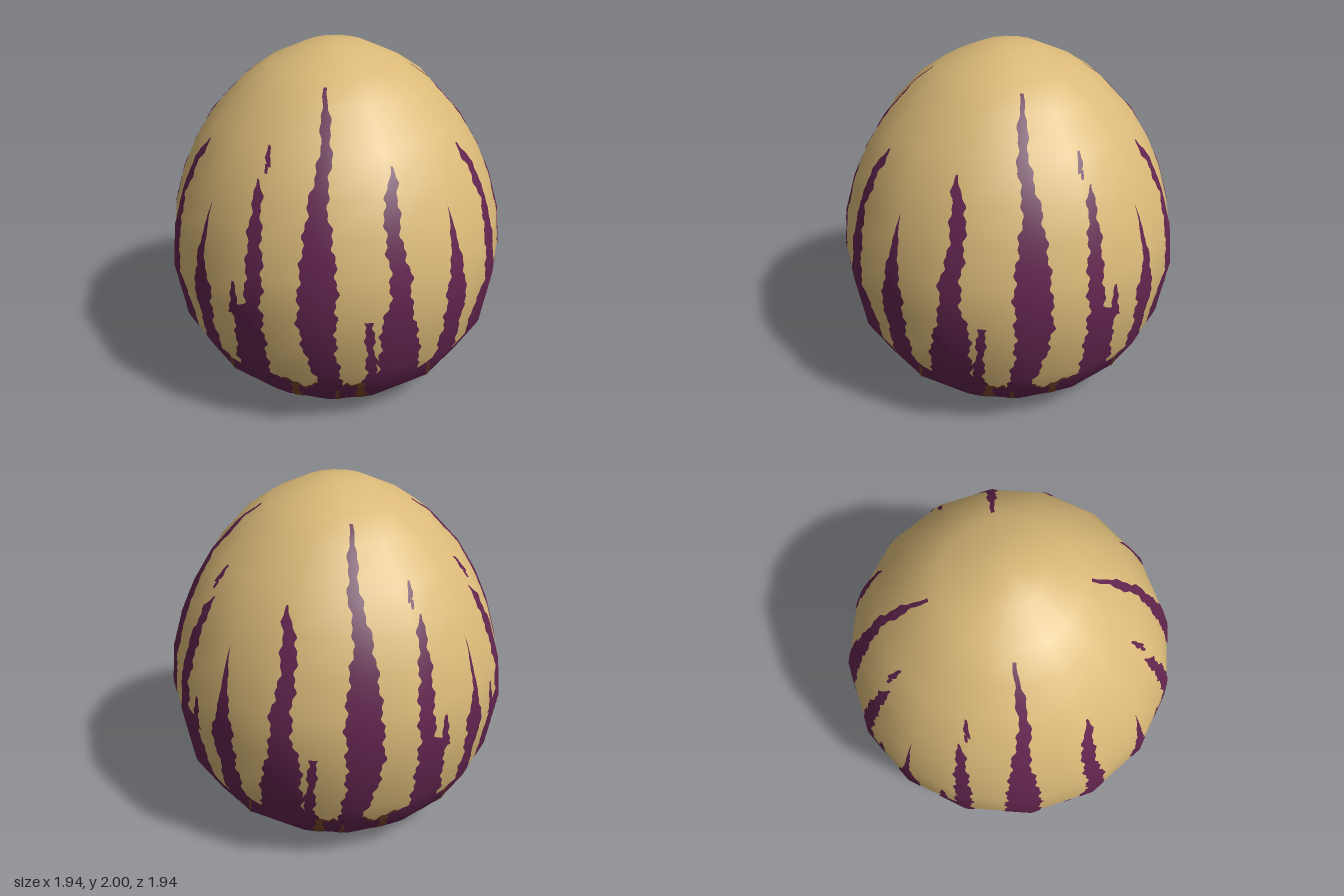
import * as THREE from 'three';

const SIDES = 16, STEP = 360 / SIDES, DEG = Math.PI / 180;

// Egg profile [radius, height], from the base to the tip
const PROFILE = [
  [0, 0], [0.44, 0.005], [0.62, 0.06], [0.77, 0.2], [0.91, 0.44], [0.967, 0.78], [0.945, 1.01],
  [0.88, 1.23], [0.8, 1.41], [0.69, 1.59], [0.51, 1.785], [0.37, 1.88], [0.17, 1.972], [0, 2],
];
const LAST = PROFILE.length - 1;

// Smooth profile normals [outward, up]
const NORMALS = PROFILE.map((p, i) => {
  if (i === 0) return [0, -1];
  if (i === LAST) return [0, 1];
  const a = PROFILE[i - 1], b = PROFILE[i + 1];
  const v = new THREE.Vector2(b[1] - a[1], a[0] - b[0]).normalize();
  return [v.x, v.y];
});

function sample(list, u) {
  const i = Math.min(Math.floor(u), LAST - 1), f = u - i;
  return [0, 1].map((k) => THREE.MathUtils.lerp(list[i][k], list[i + 1][k], f));
}

// Profile position at a given height
function uAt(y) {
  let i = 0;
  while (i < LAST - 1 && PROFILE[i + 1][1] < y) i++;
  return i + (y - PROFILE[i][1]) / (PROFILE[i + 1][1] - PROFILE[i][1]);
}

// Surface patch on the faceted egg; f(s, t) returns [angle in degrees, profile position]
function patch(cols, rows, f, lift = 0) {
  const pos = [], nor = [], index = [];
  for (let j = 0; j <= rows; j++) {
    for (let i = 0; i <= cols; i++) {
      const [deg, u] = f(i / cols, j / rows);
      const [r, y] = sample(PROFILE, u), [no, nu] = sample(NORMALS, u);
      const local = THREE.MathUtils.euclideanModulo(deg, STEP) - STEP / 2;
      const flat = r * Math.cos(STEP / 2 * DEG) / Math.cos(local * DEG);
      const c = Math.cos(deg * DEG), s = Math.sin(deg * DEG);
      pos.push((flat + no * lift) * c, y + nu * lift, (flat + no * lift) * s);
      nor.push(no * c, nu, no * s);
      if (i < cols && j < rows) {
        const a = j * (cols + 1) + i, b = a + cols + 1;
        index.push(a, b, a + 1, a + 1, b, b + 1);
      }
    }
  }
  const g = new THREE.BufferGeometry();
  g.setAttribute('position', new THREE.Float32BufferAttribute(pos, 3));
  g.setAttribute('normal', new THREE.Float32BufferAttribute(nor, 3));
  g.setIndex(index);
  return g;
}

// Piecewise-linear lookup in rows [key, value...]
function lookup(rows, key, column = 1) {
  let i = 0;
  while (i < rows.length - 2 && rows[i + 1][0] < key) i++;
  const f = THREE.MathUtils.clamp((key - rows[i][0]) / (rows[i + 1][0] - rows[i][0]), 0, 1);
  return THREE.MathUtils.lerp(rows[i][column], rows[i + 1][column], f);
}

const wobble = (y, k) => 0.5 * Math.sin(y * 41 + k) + 0.4 * Math.sin(y * 97 + 2 * k);

// Stripes of one quarter: rows [height, first angle, last angle], from low to high
const STRIPES = {
  startStripe: [[0.25, 0, 7], [0.4, 0, 5.8], [0.6, 0, 4.3], [0.8, 0, 4.8], [1, 0, 2.8], [1.15, 0, 1.3], [1.3, 0, 0]],
  tallStripe: [[0.25, 7, 30], [0.4, 11.5, 27.8], [0.6, 13.5, 27.5], [0.78, 17, 28], [0.86, 18, 25.5],
    [1.03, 18, 25], [1.2, 20.5, 25.8], [1.4, 19.5, 25], [1.46, 18.5, 22], [1.53, 19, 20]],
  tallStripeBranch: [[0.25, 25, 32], [0.4, 27, 31.5], [0.6, 29.5, 32], [0.72, 30, 33], [0.79, 30.5, 33]],
  diagonalStripe: [[0.15, 39, 49], [0.4, 40, 48.5], [0.6, 42, 52.5], [0.8, 42, 54], [1, 41.5, 53.5],
    [1.2, 42.8, 52.8], [1.4, 45, 51.5], [1.6, 43.5, 48.5], [1.75, 45, 49.5], [1.85, 48, 50.5]],
  brokenStripe: [[0.25, 62, 82], [0.4, 65, 79], [0.6, 65, 77], [0.8, 65, 76], [0.84, 65.5, 71.5],
    [1, 65, 71], [1.2, 66.5, 72], [1.4, 69, 72.5], [1.46, 72, 73]],
  brokenStripeBranch: [[0.75, 72, 78], [0.84, 74, 77.5], [0.88, 75, 77], [0.94, 75.8, 76.6]],
  brokenStripeSpot: [[1.52, 68, 69.5], [1.55, 69, 72], [1.58, 69, 72], [1.61, 71, 72]],
  brokenStripeSpeck: [[1.49, 69, 70], [1.51, 69, 71], [1.53, 70, 71]],
  endStripe: [[0.25, 83, 90], [0.4, 85, 90], [0.6, 87, 90], [0.8, 85.2, 90], [1, 88.8, 90], [1.3, 90, 90]],
};

// Upper edge of the dark base: [angle, height]
const BASE_EDGE = [[0, 0.4], [6, 0.39], [10, 0.35], [14, 0.38], [27, 0.4], [31, 0.36], [34, 0.29], [38, 0.32],
  [41, 0.29], [50, 0.33], [53, 0.26], [58, 0.31], [62, 0.35], [66, 0.38], [78, 0.4], [81, 0.34], [86, 0.36], [90, 0.4]];
const baseEdge = (d) => lookup(BASE_EDGE, d) + 0.012 * Math.sin(d * 1.7) * Math.sin(d * Math.PI / 90);

// Brown streaks beside each diagonal: [offset from diagonal, half width, start, end]
const STREAKS = [[-0.18, 0.026, 0.75, 3.55], [0.18, 0.026, 0.75, 3.45], [-0.05, 0.012, 1.7, 3.3]];

export function createModel() {
  const model = new THREE.Group();
  model.name = 'stripedEgg';
  const paint = (name, color) => {
    const m = new THREE.MeshStandardMaterial({ color });
    m.name = name;
    return m;
  };
  const cream = paint('cream', 0xdab978);
  const purple = paint('purple', 0x63254f);
  const brown = paint('brown', 0x7c482b);
  const add = (parent, name, geometry, material) => {
    const mesh = new THREE.Mesh(geometry, material);
    mesh.name = name;
    parent.add(mesh);
  };

  // Shell
  add(model, 'shell', patch(SIDES, LAST, (s, t) => [360 * s, LAST * t]), cream);

  // Markings: two repeated quarters in front, mirrored behind
  for (const [name, start, dir] of [['frontLeft', 0, 1], ['frontRight', 90, 1], ['backLeft', 0, -1], ['backRight', -90, -1]]) {
    const quarter = new THREE.Group();
    quarter.name = name + 'Markings';
    model.add(quarter);
    // Keeps the winding outward on mirrored quarters
    const marking = (part, cols, rows, f, lift, material) => add(quarter, part, patch(cols, rows, (s, t) => {
      const [d, u] = f(dir > 0 ? s : 1 - s, t);
      return [start + dir * d, u];
    }, lift), material);

    // Dark base with a brown rim
    marking('base', 90, 30, (s, t) => [90 * s, t * uAt(baseEdge(90 * s))], 0.004, purple);
    marking('baseRim', 60, 4, (s, t) => {
      const d = 30 + 32 * s;
      return [d, uAt(baseEdge(d) - 0.03 + 0.045 * t)];
    }, 0.002, brown);

    // Stripes
    Object.entries(STRIPES).forEach(([part, rows], k) => {
      const low = rows[0][0], high = rows[rows.length - 1][0];
      marking(part, 10, Math.ceil((high - low) / 0.015), (s, t) => {
        const y = low + (high - low) * t;
        let a = lookup(rows, y, 1), b = lookup(rows, y, 2);
        const rough = Math.min(1, (b - a) / 4);
        if (a > 0) a += wobble(y, k) * rough;
        if (b < 90) b += wobble(y, k + 4) * rough;
        return [a + (b - a) * s, uAt(y)];
      }, 0.004, purple);
    });

    // Brown streaks running under the egg
    STREAKS.forEach(([offset, half, u0, u1], k) => {
      marking('brownStreak' + (k + 1), 6, 50, (s, t) => {
        const u = u0 + (u1 - u0) * t, r = sample(PROFILE, u)[0];
        const w = half * Math.min(1, 5 * t + 0.2) * (1 + 0.35 * Math.sin(u * 9 + k));
        return [45 + Math.asin((offset + w * (2 * s - 1)) / r) / DEG, u];
      }, 0.007, brown);
    });

    // Brown chevrons at the quarter seams
    for (const [part, from, to] of [['startChevron', 0, 6], ['endChevron', 90, 84]]) {
      for (const [suffix, y, rise, width] of [['Upper', 0.19, 0.17, 0.035], ['Lower', 0.1, 0.04, 0.015]]) {
        marking(part + suffix, 10, 4, (s, t) => {
          const q = from < to ? s : 1 - s;
          return [from + (to - from) * q, uAt(y + rise * q + width * t)];
        }, 0.007, brown);
      }
    }
  }
  return model;
}
